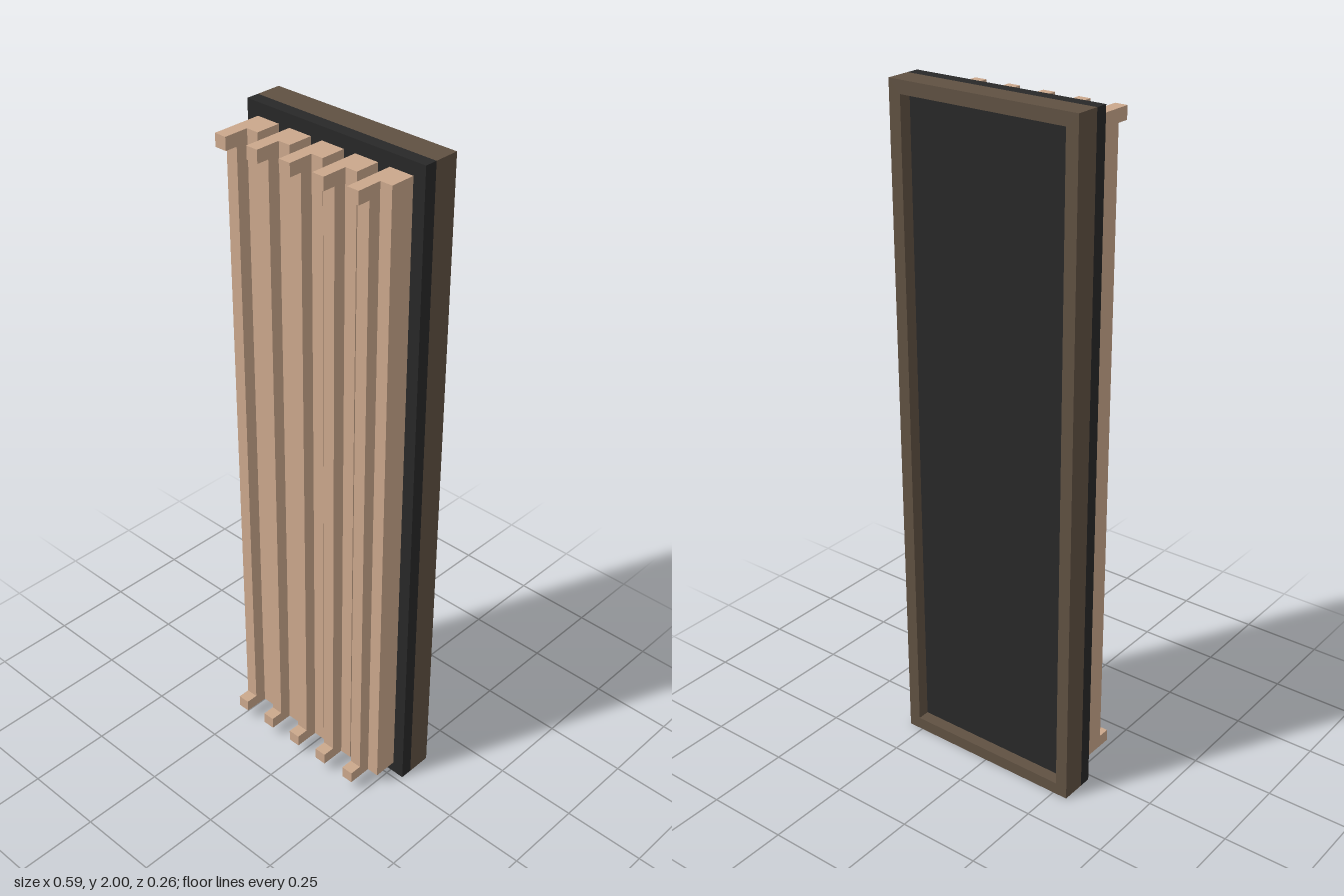
import * as THREE from 'three';

const T = 2 / 54; // timber module: the model is 16 x 54 x 7 modules
const W = 16 * T, H = 54 * T;
const BACK = -3.5 * T;

export function createModel() {
  const group = new THREE.Group();
  const panelMat = new THREE.MeshStandardMaterial({ color: 0x282828 });
  panelMat.name = 'charcoal';
  const frameMat = new THREE.MeshStandardMaterial({ color: 0x605142 });
  frameMat.name = 'darkWood';
  const slatMat = new THREE.MeshStandardMaterial({ color: 0xcba88c });
  slatMat.name = 'lightWood';

  const add = (parent, name, geometry, material, x, y, z) => {
    const mesh = new THREE.Mesh(geometry, material);
    mesh.name = name;
    mesh.position.set(x, y, z);
    parent.add(mesh);
  };

  // Backing panel, and the inset layer that makes the rear recess shallow
  add(group, 'backingPanel', new THREE.BoxGeometry(W, H, T), panelMat, 0, H / 2, BACK + 2.5 * T);
  add(group, 'insetPanel', new THREE.BoxGeometry(W - 2 * T, H - 2 * T, T), panelMat,
    0, H / 2, BACK + 1.5 * T);

  // Rear frame
  const rect = (Type, w, h) => new Type([
    new THREE.Vector2(-w / 2, -h / 2), new THREE.Vector2(w / 2, -h / 2),
    new THREE.Vector2(w / 2, h / 2), new THREE.Vector2(-w / 2, h / 2),
  ]);
  const frame = rect(THREE.Shape, W, H);
  frame.holes.push(rect(THREE.Path, W - 2 * T, H - 2 * T));
  add(group, 'rearFrame', new THREE.ExtrudeGeometry(frame, { depth: 2 * T, bevelEnabled: false }),
    frameMat, 0, H / 2, BACK);

  // L-section slat: full-width base with a narrow ridge on its right side
  const slatH = H - 2 * T;
  const profile = new THREE.Shape([
    [0, -3], [1, -3], [1, -2], [2, -2], [2, 0], [0, 0],
  ].map(([x, y]) => new THREE.Vector2(x * T, y * T)));
  const slatGeo = new THREE.ExtrudeGeometry(profile, { depth: slatH, bevelEnabled: false });
  slatGeo.rotateX(-Math.PI / 2);
  const tipGeo = new THREE.BoxGeometry(T, T, T);

  for (let i = 0; i < 5; i++) {
    const slat = new THREE.Group();
    slat.name = 'slat' + (i + 1);
    slat.position.set((3 * i - 7) * T, T, BACK + 3 * T);
    add(slat, 'slatBody', slatGeo, slatMat, 0, 0, 0);
    // Projecting end tips
    add(slat, 'bottomTip', tipGeo, slatMat, T / 2, T / 2, 3.5 * T);
    add(slat, 'topTip', tipGeo, slatMat, T / 2, slatH - T / 2, 3.5 * T);
    group.add(slat);
  }
  return group;
}
